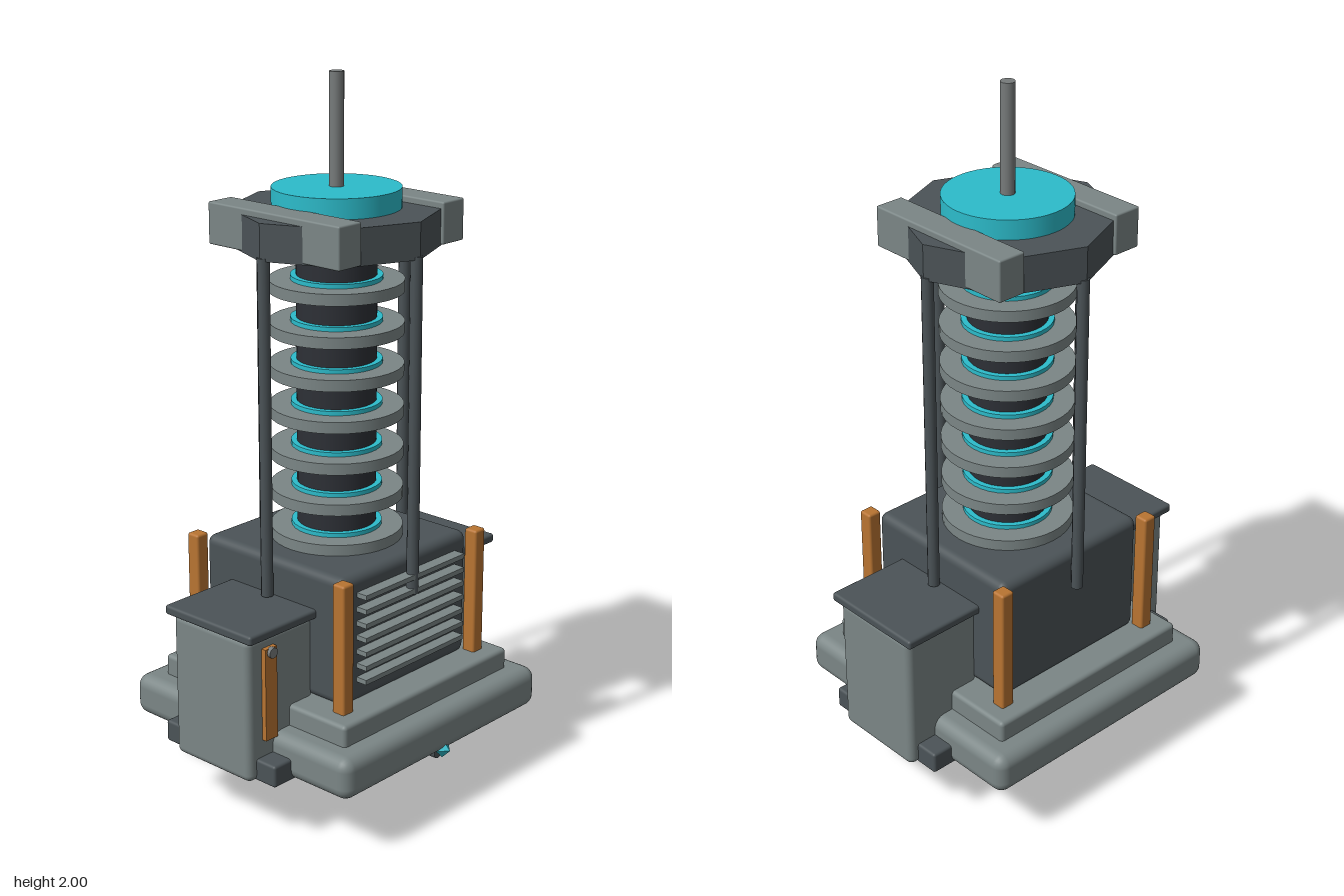
import * as THREE from 'three';
import { RoundedBoxGeometry } from 'three/addons/geometries/RoundedBoxGeometry.js';

const mat = (name, color) => {
  const m = new THREE.MeshStandardMaterial({ color });
  m.name = name;
  return m;
};

export function createModel() {
  const model = new THREE.Group();
  const light = mat('light grey', 0x7b8686);
  const dark = mat('dark grey', 0x4b5357);
  const black = mat('charcoal', 0x2d3036);
  const teal = mat('teal', 0x2cbccb);
  const copper = mat('copper', 0xb87432);
  const steel = mat('steel', 0x777b7b);

  const add = (name, geo, m, x, y, z) => {
    const mesh = new THREE.Mesh(geo, m);
    mesh.name = name;
    mesh.position.set(x, y, z);
    model.add(mesh);
    return mesh;
  };
  // Box and upright cylinder given by their bottom and top heights
  const box = (name, m, x, z, w, d, y0, y1, r = 0.01) =>
    add(name, r ? new RoundedBoxGeometry(w, y1 - y0, d, 3, r) : new THREE.BoxGeometry(w, y1 - y0, d),
      m, x, (y0 + y1) / 2, z);
  const cyl = (name, m, x, z, r, y0, y1, sides = 32, r0 = r) =>
    add(name, new THREE.CylinderGeometry(r, r0, y1 - y0, sides), m, x, (y0 + y1) / 2, z);

  // Stepped base and main housing
  box('basePlate', light, 0, 0, 0.82, 0.82, 0.17, 0.29, 0.035);
  box('baseStep', light, 0, 0, 0.69, 0.69, 0.28, 0.35, 0.012);
  box('housing', dark, 0, 0, 0.52, 0.52, 0.345, 0.715, 0.025);

  // Front vent slats
  for (let i = 0; i < 7; i++) {
    const y = 0.415 + i * 0.041;
    box('ventSlat', light, 0, 0.275, 0.41, 0.04, y - 0.007, y + 0.007, 0);
  }

  // Corner posts and base brackets
  for (const sx of [-1, 1]) for (const sz of [-1, 1]) {
    box('cornerPost', copper, sx * 0.275, sz * 0.275, 0.042, 0.042, 0.34, 0.72, 0.007);
    box('baseBracket', dark, sx * 0.43, sz * 0.17, 0.085, 0.08, 0.172, 0.235, 0.008);
  }

  // Side cabinets with lids and front strips
  for (const s of [-1, 1]) {
    box('sideCabinet', light, s * 0.375, 0, 0.25, 0.285, 0.17, 0.585, 0.02);
    box('cabinetLid', dark, s * 0.38, 0, 0.26, 0.325, 0.58, 0.607, 0.008);
    box('cabinetStrip', copper, s * 0.427, 0.147, 0.044, 0.02, 0.285, 0.55, 0);
    const screw = add('stripScrew', new THREE.CylinderGeometry(0.015, 0.015, 0.014, 12),
      steel, s * 0.427, 0.538, 0.16);
    screw.rotation.x = Math.PI / 2;
  }

  // Column with stacked fins and glow rings
  cyl('column', black, 0, 0, 0.11, 0.7, 1.55);
  for (let i = 0; i < 7; i++) {
    const y = 0.73 + i * 0.1168;
    cyl('fin', light, 0, 0, 0.185, y - 0.016, y + 0.016, 40);
    cyl('glowRing', teal, 0, 0, 0.126, y, y + 0.028);
  }

  // Support rods
  for (let i = 0; i < 4; i++) {
    const a = i * Math.PI / 2;
    cyl('supportRod', dark, 0.28 * Math.sin(a), 0.28 * Math.cos(a), 0.017, 0.61, 1.55, 10);
  }

  // Octagonal head, side bars, disc and mast
  const headGeo = new THREE.CylinderGeometry(0.293, 0.293, 0.1, 8).toNonIndexed();
  headGeo.computeVertexNormals();
  add('headPlate', headGeo, dark, 0, 1.592, 0);
  for (const s of [-1, 1]) box('headBar', light, s * 0.205, 0, 0.086, 0.47, 1.545, 1.66, 0.005);
  cyl('topDisc', teal, 0, 0, 0.175, 1.64, 1.697, 48);
  cyl('mast', steel, 0, 0, 0.02, 1.69, 2, 16);

  // Underside bowl, nozzle and lens
  const bowl = add('underBowl', new THREE.SphereGeometry(1, 32, 12, 0, Math.PI * 2, Math.PI / 2, Math.PI / 2),
    black, 0, 0.175, 0);
  bowl.scale.set(0.19, 0.135, 0.165);
  cyl('nozzle', black, 0, 0, 0.095, 0.022, 0.06);
  cyl('lens', teal, 0, 0, 0.072, 0, 0.014);
  cyl('lensNeck', black, 0, 0, 0.06, 0.01, 0.03);

  // Thrusters on short stems
  for (const s of [-1, 1]) {
    box('thrusterMount', black, s * 0.225, -0.035, 0.075, 0.07, 0.135, 0.175, 0.008);
    cyl('thrusterStem', black, s * 0.225, -0.035, 0.028, 0.1, 0.14, 12);
    cyl('thruster', teal, s * 0.225, -0.035, 0.046, 0.052, 0.106, 20);
  }
  box('rearMount', black, 0, -0.18, 0.075, 0.07, 0.13, 0.175, 0.008);
  box('frontMount', black, 0, 0.18, 0.075, 0.07, 0.13, 0.175, 0.008);

  // Forward probe with gem tip
  const probe = add('probe', new THREE.CylinderGeometry(0.016, 0.016, 0.2, 10), dark, 0, 0.158, 0.28);
  probe.rotation.x = Math.PI / 2;
  add('probeTip', new THREE.OctahedronGeometry(0.028), teal, 0, 0.178, 0.395);

  return model;
}
